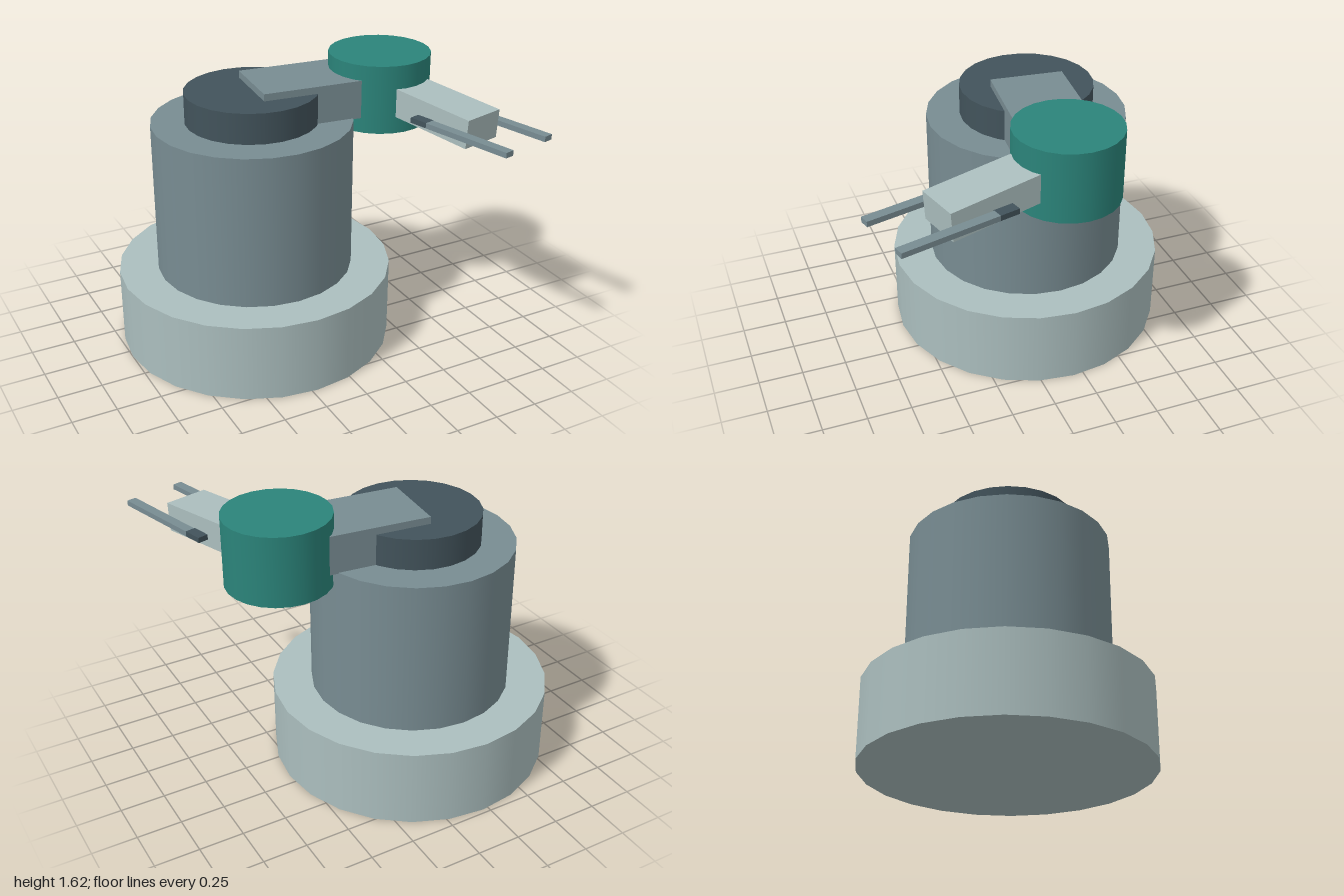
import * as THREE from 'three';

const material = (name, color) => {
  const m = new THREE.MeshStandardMaterial({ color });
  m.name = name;
  return m;
};

export function createModel() {
  const pale = material('paleGrey', 0xabbebe);
  const slate = material('slateGrey', 0x788c92);
  const dark = material('darkSlate', 0x42535b);
  const teal = material('teal', 0x2b847a);

  const model = new THREE.Group();
  model.name = 'robotArm';

  const add = (parent, name, geometry, mat, x, y, z) => {
    const mesh = new THREE.Mesh(geometry, mat);
    mesh.name = name;
    mesh.position.set(x, y, z);
    parent.add(mesh);
    return mesh;
  };
  // Upright drum between two heights
  const drum = (name, mat, r, y0, y1, x, z) =>
    add(model, name, new THREE.CylinderGeometry(r, r, y1 - y0, 24), mat, x, (y0 + y1) / 2, z);

  const baseX = -0.217, baseZ = -0.192;
  const elbowX = 0.548, elbowZ = -0.115;

  // Stepped pedestal and elbow motor
  drum('base', pale, 0.783, 0, 0.445, baseX, baseZ);
  drum('column', slate, 0.561, 0.445, 1.317, baseX, baseZ);
  drum('shoulderCap', dark, 0.373, 1.317, 1.49, baseX, baseZ);
  drum('elbowMotor', teal, 0.289, 1.227, 1.617, elbowX, elbowZ);

  // Arm from the shoulder axis to the elbow axis
  const dx = elbowX - baseX, dz = elbowZ - baseZ;
  const arm = add(model, 'upperArm', new THREE.BoxGeometry(Math.hypot(dx, dz), 0.218, 0.409), slate,
    (baseX + elbowX) / 2, 1.421, (baseZ + elbowZ) / 2);
  arm.rotation.y = -Math.atan2(dz, dx);

  // Forearm and gripper swing about the elbow, pointing along local +z
  const hand = new THREE.Group();
  hand.name = 'forearmAndGripper';
  hand.position.set(elbowX, 0, elbowZ);
  hand.rotation.y = 0.252;
  model.add(hand);

  const forearm = add(hand, 'forearm', new THREE.BoxGeometry(0.25, 0.162, 0.77), pale, 0, 1.395, 0.385);
  forearm.rotation.x = 0.066;

  add(hand, 'gripperBar', new THREE.BoxGeometry(0.37, 0.03, 0.11), dark, 0, 1.369, 0.48);
  for (const side of [-1, 1]) {
    add(hand, side > 0 ? 'leftFinger' : 'rightFinger',
      new THREE.BoxGeometry(0.055, 0.03, 0.542), slate, side * 0.158, 1.369, 0.806);
  }
  return model;
}
